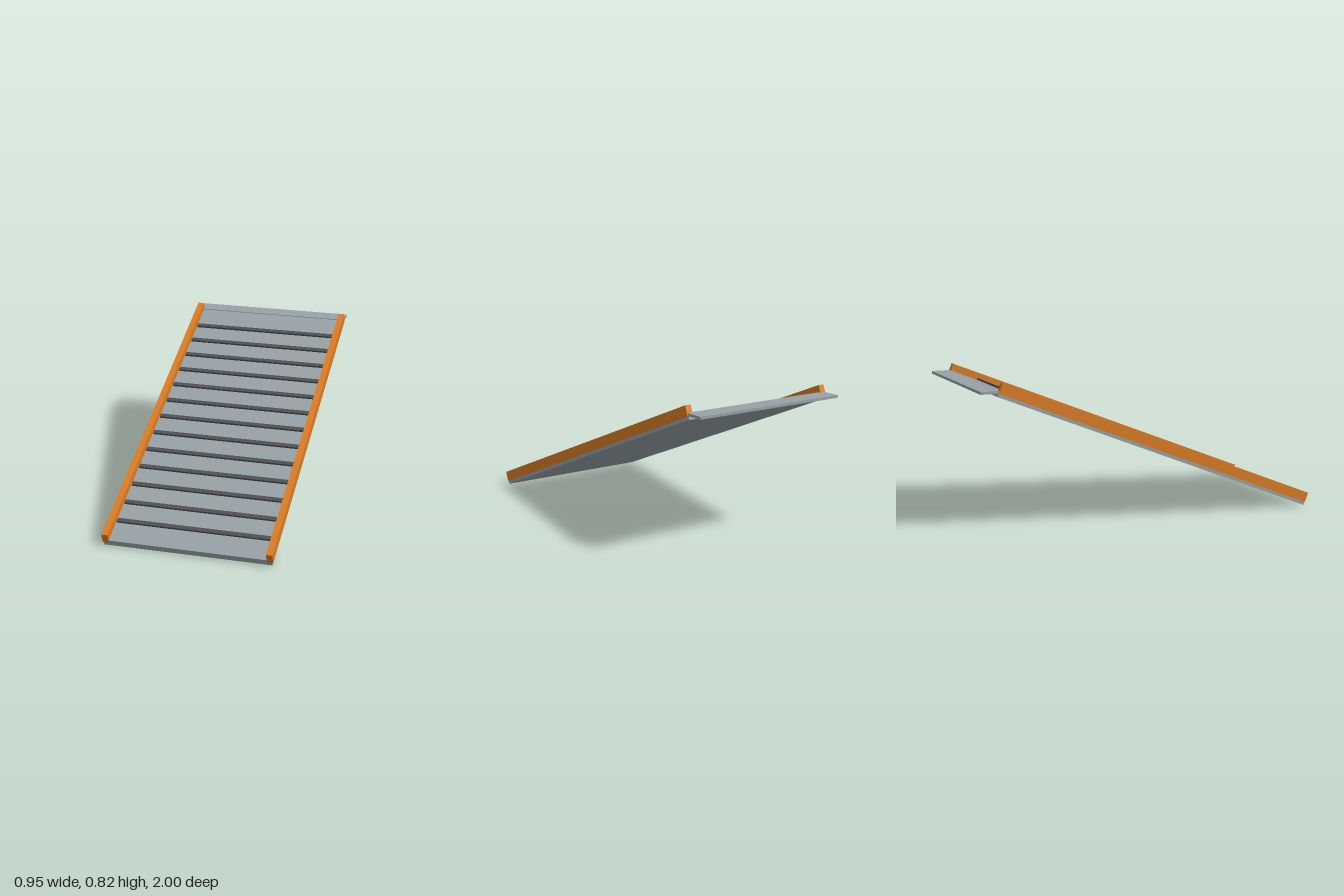
import * as THREE from 'three';

export function createModel() {
  const model = new THREE.Group();
  model.name = 'loadingRamp';

  const material = (name, color) => {
    const m = new THREE.MeshStandardMaterial({ color });
    m.name = name;
    return m;
  };
  const steel = material('steelGrey', 0x98a2a7);
  const rubber = material('darkGrip', 0x505152);
  const orange = material('safetyOrange', 0xdb7c22);

  const box = (parent, name, mat, size, pos) => {
    const mesh = new THREE.Mesh(new THREE.BoxGeometry(...size), mat);
    mesh.name = name;
    mesh.position.set(...pos);
    parent.add(mesh);
  };

  // Sloping part: local -z runs up the ramp, local y is the deck normal
  const length = 2.023, deckThickness = 0.0355;
  const slope = new THREE.Group();
  slope.name = 'slope';
  slope.position.set(0, 0, 0.971);
  slope.rotation.x = Math.atan(0.401);
  model.add(slope);

  box(slope, 'deck', steel, [0.94, deckThickness, length], [0, deckThickness / 2, -length / 2]);

  // Side rails, sunk slightly into the deck edges
  for (const [name, side] of [['leftRail', 1], ['rightRail', -1]]) {
    box(slope, name, orange, [0.035, 0.058, length], [side * 0.4575, 0.0484, -length / 2]);
  }

  // Grip cleats across the deck
  for (let i = 0; i < 13; i++) {
    box(slope, `cleat${i + 1}`, rubber, [0.87, 0.0113, 0.0255],
      [0, deckThickness + 0.0056, -0.147 - i * 0.1413]);
  }

  // Level lip at the upper end
  box(model, 'topLip', steel, [0.94, 0.015, 0.118], [0, 0.7775, -0.941]);

  return model;
}
